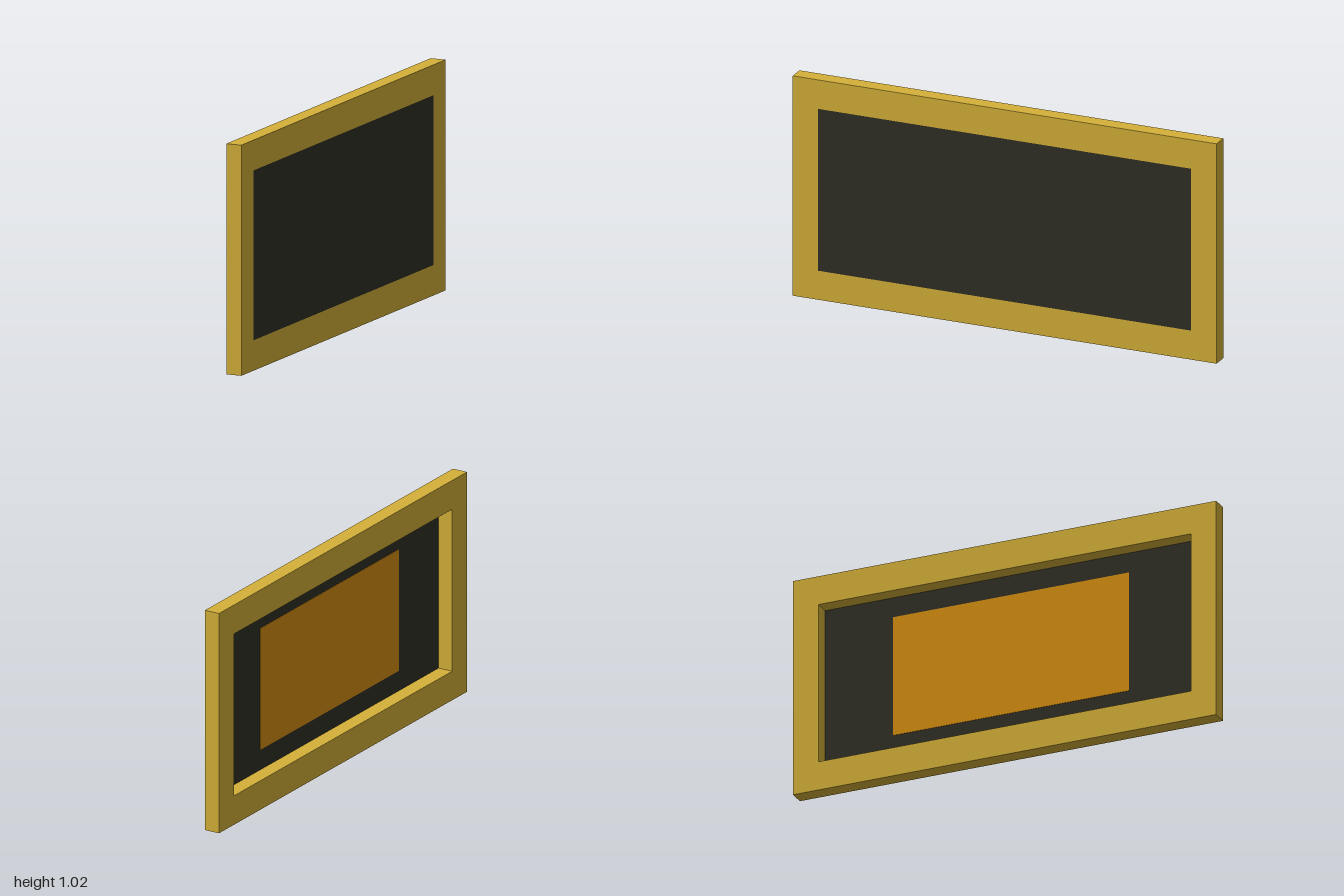
import * as THREE from 'three';

const HEIGHT = 1.016, LENGTH = 2, DEPTH = 0.072;
const OPEN_HEIGHT = 0.748, OPEN_LENGTH = 1.76;

const material = (name, color) => {
  const m = new THREE.MeshStandardMaterial({ color });
  m.name = name;
  return m;
};

// Rectangle centred on the origin
function rectangle(Type, w, h) {
  return new Type([
    new THREE.Vector2(-w / 2, -h / 2), new THREE.Vector2(w / 2, -h / 2),
    new THREE.Vector2(w / 2, h / 2), new THREE.Vector2(-w / 2, h / 2),
  ]);
}

export function createModel() {
  const gold = material('gold', 0xd4b038);
  const charcoal = material('charcoal', 0x2f2f26);
  const amber = material('amber', 0xd68d10);
  const group = new THREE.Group();
  group.name = 'framedPanel';

  const add = (name, geometry, mat, x) => {
    const mesh = new THREE.Mesh(geometry, mat);
    mesh.name = name;
    mesh.position.set(x, HEIGHT / 2, 0);
    group.add(mesh);
  };

  // Rectangular frame, extruded across x
  const outline = rectangle(THREE.Shape, LENGTH, HEIGHT);
  outline.holes.push(rectangle(THREE.Path, OPEN_LENGTH, OPEN_HEIGHT));
  const frame = new THREE.ExtrudeGeometry(outline, { depth: DEPTH, bevelEnabled: false });
  frame.translate(0, 0, -DEPTH / 2).rotateY(Math.PI / 2);
  add('frame', frame, gold, 0);

  // Thin backing, level with the right-hand face and recessed on the other
  const thick = 0.002;
  add('backingPanel', new THREE.BoxGeometry(thick, OPEN_HEIGHT, OPEN_LENGTH), charcoal,
    DEPTH / 2 - thick / 2);

  // Smaller plate on the recessed side of the backing
  add('insetPlate', new THREE.BoxGeometry(thick, 0.562, 1.115), amber,
    DEPTH / 2 - thick * 1.5);

  return group;
}
